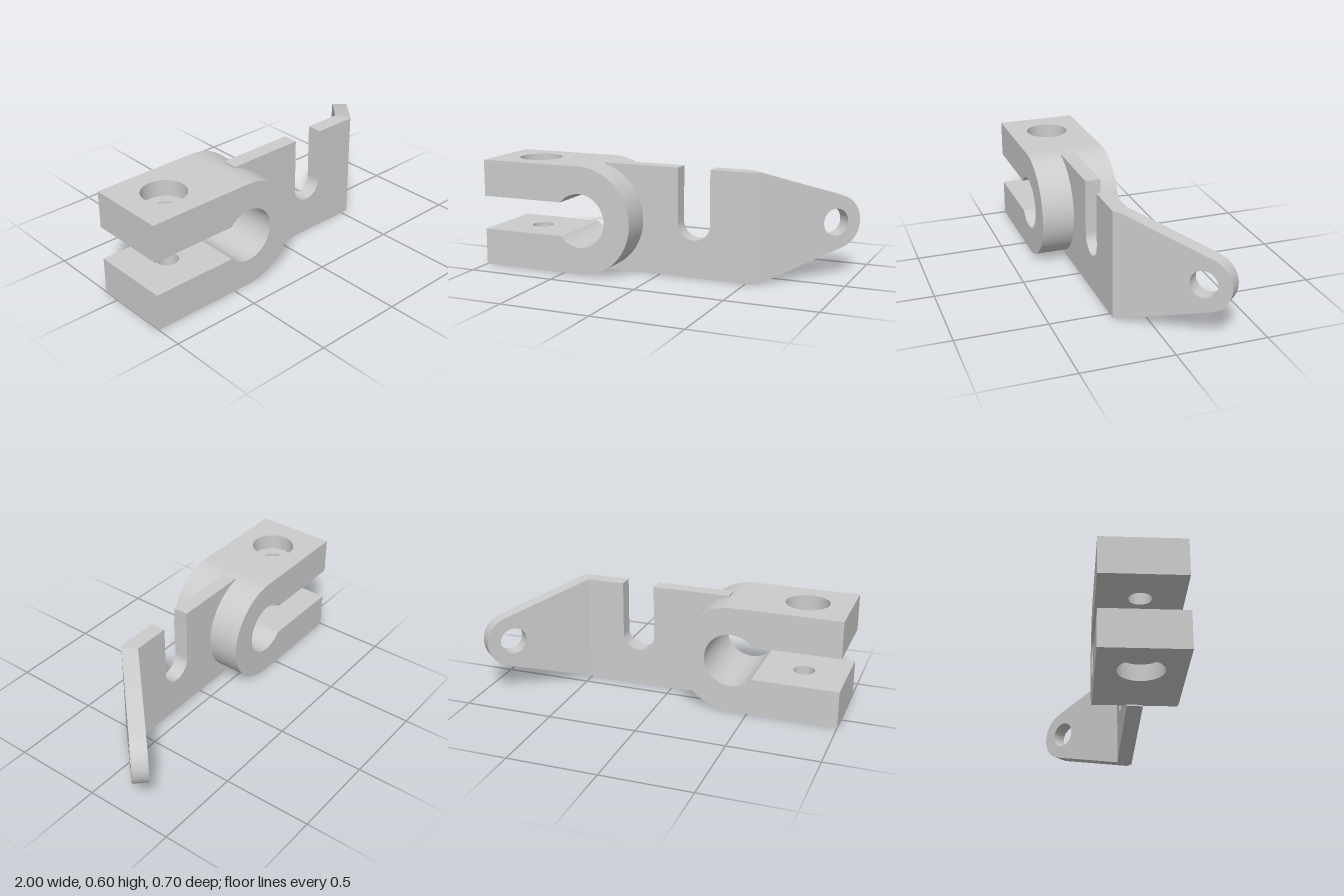
import * as THREE from 'three';
import { toCreasedNormals } from 'three/addons/utils/BufferGeometryUtils.js';

const H = 0.603, C = H / 2;          // overall height and mid height
const T = 0.085, ZMID = 0.125;       // plate thickness and centre plane
const BACK = ZMID - T / 2;           // rear face of the plate
const BEND = 0.507;                  // x of the bend on the rear face
const MITRE = T * Math.tan(Math.PI / 8);
const material = new THREE.MeshStandardMaterial({ color: 0xcccccc });

function extrude(shape, depth) {
  return new THREE.ExtrudeGeometry(shape, { depth, bevelEnabled: false, curveSegments: 40 });
}

function addMesh(parent, name, geometry) {
  const mesh = new THREE.Mesh(toCreasedNormals(geometry, 0.4), material);
  mesh.name = name;
  parent.add(mesh);
  return mesh;
}

function addHole(shape, x, y, r) {
  shape.holes.push(new THREE.Path().absarc(x, y, r, 0, Math.PI * 2, true));
}

// Slide the rear vertices at one end along x to cut a mitre
function mitreRear(geometry, x, shift) {
  const p = geometry.attributes.position;
  for (let i = 0; i < p.count; i++) {
    if (Math.abs(p.getX(i) - x) < 1e-4 && p.getZ(i) < 1e-4) p.setX(i, x + shift);
  }
  geometry.computeVertexNormals();
  return geometry;
}

export function createModel() {
  const model = new THREE.Group();
  model.name = 'clampBracket';

  // Clamp: C-shaped ring around the bore
  const clamp = new THREE.Group();
  clamp.name = 'clamp';
  model.add(clamp);
  const bx = -0.4, split = -0.58, bore = 0.15, gap = 0.095, width = 0.45;
  const a = Math.PI - Math.asin(gap / bore);
  const ring = new THREE.Shape();
  ring.moveTo(split, 0);
  ring.lineTo(bx, 0);
  ring.absarc(bx, C, C, -Math.PI / 2, Math.PI / 2, false);
  ring.lineTo(split, H);
  ring.lineTo(split, C + gap);
  ring.absarc(bx, C, bore, a, -a, true);
  ring.lineTo(split, C - gap);
  ring.closePath();
  addMesh(clamp, 'clampRing', extrude(ring, width)).position.z = ZMID - width / 2;

  // Clamp jaws: slabs with a screw hole and an outer counterbore
  const sink = 0.09, jaw = C - gap;
  const addSlab = (name, y, height, r) => {
    const w = width / 2;
    const s = new THREE.Shape([
      new THREE.Vector2(-1, -w), new THREE.Vector2(split, -w),
      new THREE.Vector2(split, w), new THREE.Vector2(-1, w)]);
    addHole(s, -0.76, 0, r);
    addMesh(clamp, name, extrude(s, height).rotateX(-Math.PI / 2)).position.set(0, y, ZMID);
  };
  addSlab('lowerJawCounterbore', 0, sink, 0.12);
  addSlab('lowerJaw', sink, jaw - sink, 0.06);
  addSlab('upperJaw', C + gap, jaw - sink, 0.06);
  addSlab('upperJawCounterbore', H - sink, sink, 0.12);

  // Flat plate with an open slot, rooted in the ring around the bore
  const x0 = -0.33, rootR = 0.22, slotX = 0.2025, slotR = 0.0925;
  const rootA = Math.acos((x0 - bx) / rootR), end = BEND + MITRE;
  const plate = new THREE.Shape();
  plate.moveTo(x0, 0);
  plate.lineTo(end, 0);
  plate.lineTo(end, H);
  plate.lineTo(slotX + slotR, H);
  plate.lineTo(slotX + slotR, C);
  plate.absarc(slotX, C, slotR, 0, -Math.PI, true);
  plate.lineTo(slotX - slotR, H);
  plate.lineTo(x0, H);
  plate.absarc(bx, C, rootR, rootA, -rootA, true);
  plate.closePath();
  addMesh(model, 'slottedPlate', mitreRear(extrude(plate, T), end, -MITRE)).position.z = BACK;

  // Angled tab tapering to a rounded eye
  const eye = 0.462, eyeR = 0.15;
  const tangent = Math.atan2(C, -eye) - Math.acos(eyeR / Math.hypot(eye, C));
  const tab = new THREE.Shape();
  tab.moveTo(-MITRE, 0);
  tab.lineTo(0, 0);
  tab.absarc(eye, C, eyeR, -tangent, tangent, false);
  tab.lineTo(0, H);
  tab.lineTo(-MITRE, H);
  tab.closePath();
  addHole(tab, eye, C, 0.075);
  const tabMesh = addMesh(model, 'angledTab', mitreRear(extrude(tab, T), -MITRE, MITRE));
  tabMesh.position.set(BEND, 0, BACK);
  tabMesh.rotation.y = Math.PI / 4;

  return model;
}
